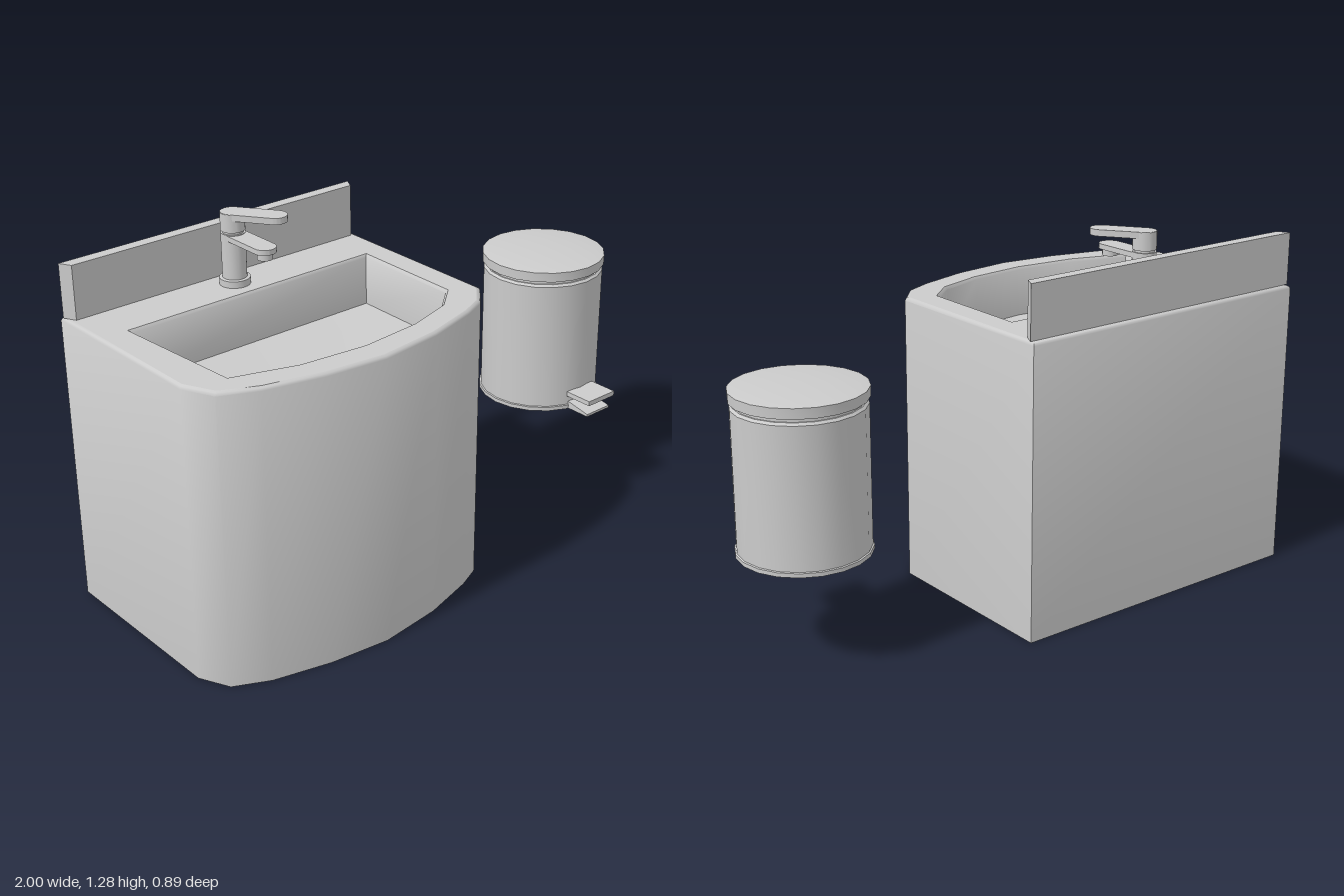
import * as THREE from 'three';
import { toCreasedNormals } from 'three/addons/utils/BufferGeometryUtils.js';

const grey = new THREE.MeshStandardMaterial({ color: 0xcccccc, side: THREE.DoubleSide });

function add(parent, name, geometry, x = 0, y = 0, z = 0) {
  const mesh = new THREE.Mesh(geometry, grey);
  mesh.name = name;
  mesh.position.set(x, y, z);
  parent.add(mesh);
  return mesh;
}

// Skin through closed rings of [x, y, z] points with equal counts
function loft(rings, crease = 0.78) {
  const pos = [];
  for (let r = 0; r < rings.length - 1; r++) {
    const lo = rings[r], hi = rings[r + 1], n = lo.length;
    for (let i = 0; i < n; i++) {
      const j = (i + 1) % n;
      pos.push(...lo[i], ...lo[j], ...hi[j], ...lo[i], ...hi[j], ...hi[i]);
    }
  }
  const g = new THREE.BufferGeometry();
  g.setAttribute('position', new THREE.Float32BufferAttribute(pos, 3));
  return toCreasedNormals(g, crease);
}

// Ring at height y, shrunk towards the centre (cx, cz) by a fixed distance per axis
function ring(outline, y, inset, cx, cz, hx, hz) {
  return outline.map(([x, z]) => [
    cx + (x - cx) * (1 - inset / hx), y, cz + (z - cz) * (1 - inset / hz)]);
}

const toShape = pts => new THREE.Shape(pts.map(([x, , z]) => new THREE.Vector2(x, -z)));

// Flat shape in plan (shape y = -z), extruded upwards
function slab(shape, height) {
  const g = new THREE.ExtrudeGeometry(shape, { depth: height, bevelEnabled: false, curveSegments: 10 });
  return toCreasedNormals(g.rotateX(-Math.PI / 2), 0.6);
}

// Round-ended bar starting at the origin and running along -y of its shape (+z in plan)
function bar(length, r, height) {
  const s = new THREE.Shape();
  s.absarc(0, 0, r, 0, Math.PI, false);
  s.absarc(0, -length, r, Math.PI, Math.PI * 2, false);
  s.closePath();
  return slab(s, height);
}

function lathe(points, segments) {
  const g = new THREE.LatheGeometry(points.map(p => new THREE.Vector2(...p)), segments);
  return toCreasedNormals(g, 0.5);
}

function createSink() {
  const sink = new THREE.Group();
  sink.name = 'sink';
  const outer = [[-1, -0.448], [-1, 0.205], [-0.95, 0.31], [-0.83, 0.37], [-0.63, 0.42], [-0.417, 0.446],
    [-0.19, 0.42], [0, 0.367], [0.085, 0.33], [0.16, 0.25], [0.166, -0.448]];
  const inner = [[-0.9, -0.22], [-0.867, 0.255], [-0.65, 0.325], [-0.417, 0.35],
    [-0.2, 0.33], [-0.03, 0.28], [0.063, 0.2], [0.07, -0.22]];
  const out = (y, inset) => ring(outer, y, inset, -0.417, 0, 0.583, 0.447);
  const inn = (y, inset) => ring(inner, y, inset, -0.417, 0.06, 0.485, 0.285);

  // Open-bottomed cabinet with softened top edge
  add(sink, 'cabinet', loft([out(0, 0), out(1.018, 0), out(1.026, 0.004), out(1.03, 0.012)]));

  // Flat deck around the basin
  const deck = toShape(out(0, 0.012));
  deck.holes.push(toShape(inn(0, 0)));
  add(sink, 'deck', new THREE.ShapeGeometry(deck).rotateX(-Math.PI / 2), 0, 1.03, 0);

  // Basin walls and floor falling to the drain point
  add(sink, 'basinWalls', loft([inn(1.03, 0), inn(1.02, 0.008), inn(0.85, 0.01)]));
  const drain = inner.map(() => [-0.417, 0.81, 0.03]);
  add(sink, 'basinFloor', loft([inn(0.85, 0.01), drain]));

  // Splashback, its ends mitred towards the front
  const splash = toShape([[-1, 0, -0.432], [-0.978, 0, -0.39], [0.144, 0, -0.39], [0.166, 0, -0.432]]);
  add(sink, 'splashback', slab(splash, 0.185), 0, 1.03, 0);
  return sink;
}

function createTap() {
  const tap = new THREE.Group();
  tap.name = 'tap';
  tap.position.set(-0.422, 1.03, -0.31);
  add(tap, 'tapBody', lathe([[0, 0], [0.052, 0], [0.052, 0.023], [0.041, 0.025], [0.041, 0.18],
    [0.035, 0.18], [0.035, 0.188], [0.041, 0.188], [0.041, 0.25], [0, 0.25]], 24));
  add(tap, 'spout', bar(0.17, 0.038, 0.018), 0, 0.16, 0);
  add(tap, 'nozzle', new THREE.CylinderGeometry(0.026, 0.026, 0.024, 16), 0, 0.148, 0.17);
  const lever = add(tap, 'lever', bar(0.147, 0.039, 0.022), 0, 0.229, 0);
  lever.rotation.y = 0.62;
  return tap;
}

function createBin() {
  const bin = new THREE.Group();
  bin.name = 'pedalBin';
  bin.position.set(0.773, 0.363, -0.047);

  // Open-bottomed can with base rim and neck
  add(bin, 'can', lathe([[0.223, 0], [0.223, 0.014], [0.218, 0.016], [0.218, 0.49],
    [0.21, 0.498], [0.205, 0.498], [0.205, 0.515]], 20));
  // Lid with shallow dome
  add(bin, 'lid', lathe([[0.205, 0.512], [0.222, 0.512], [0.223, 0.547], [0.19, 0.552],
    [0.1, 0.557], [0, 0.56]], 20));

  // Upper pedal plate and wedge-shaped foot below it
  add(bin, 'pedal', new THREE.BoxGeometry(0.134, 0.018, 0.11), 0, 0.061, 0.267);
  const wedge = new THREE.Shape([[0.212, 0], [0.308, 0], [0.308, 0.009], [0.212, 0.028]]
    .map(p => new THREE.Vector2(...p)));
  const foot = new THREE.ExtrudeGeometry(wedge, { depth: 0.116, bevelEnabled: false });
  foot.translate(0, 0, -0.058).rotateY(-Math.PI / 2);
  add(bin, 'pedalFoot', foot);
  return bin;
}

export function createModel() {
  const model = new THREE.Group();
  model.name = 'washroomSet';
  model.add(createSink(), createTap(), createBin());
  return model;
}
